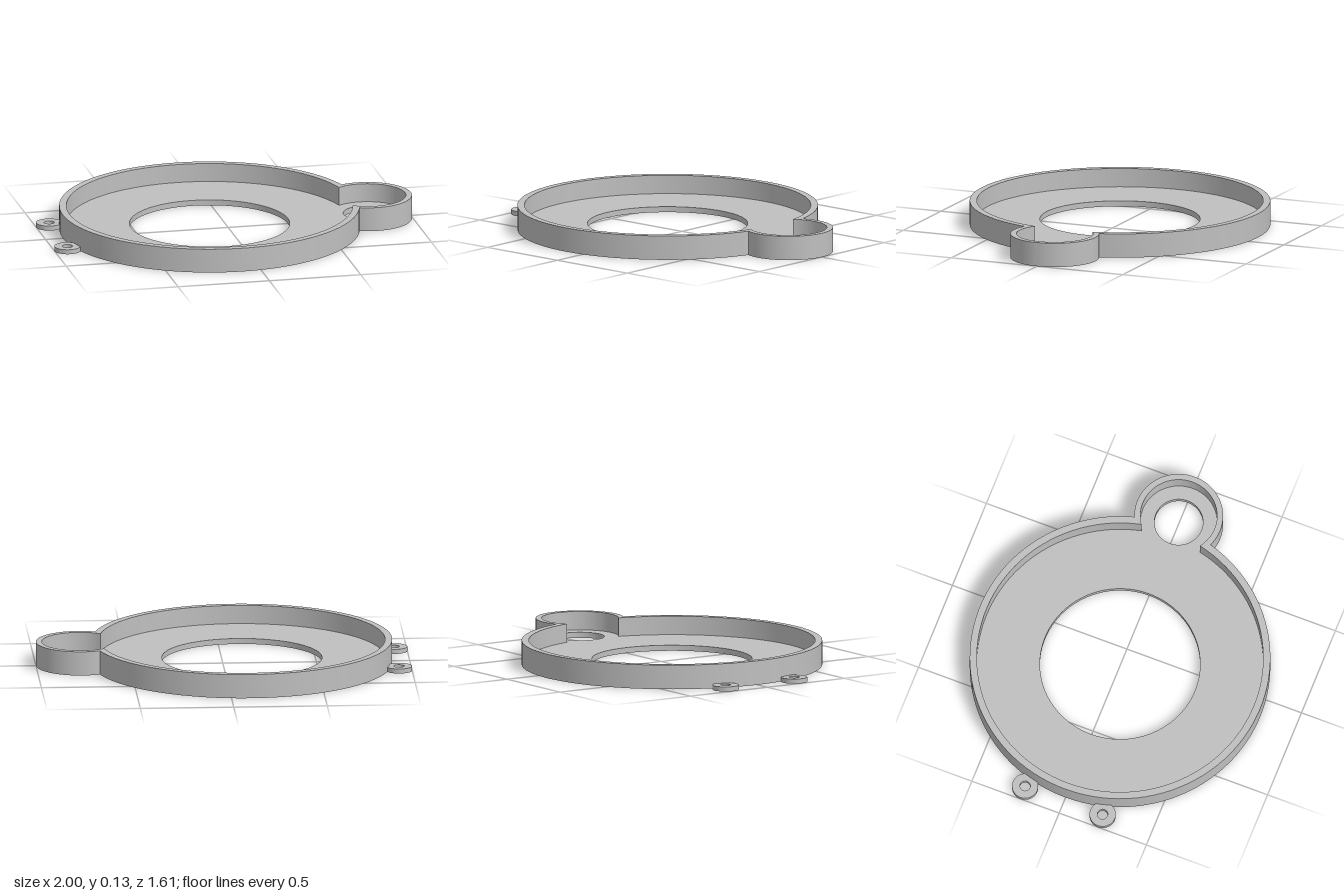
import * as THREE from 'three';
import { toCreasedNormals } from 'three/addons/utils/BufferGeometryUtils.js';

const HEIGHT = 0.13, FLOOR = 0.03, TAB_HEIGHT = 0.025;
const MAIN_X = -0.102, SIDE_X = 0.763;

// Outline of a large disc merged with a smaller one beside it
function mergedOutline(PathType, R, r) {
  const d = SIDE_X - MAIN_X;
  const a = (d * d + R * R - r * r) / (2 * d);
  const h = Math.sqrt(R * R - a * a);
  const mainAngle = Math.atan2(h, a);
  const sideAngle = Math.atan2(h, a - d);
  const path = new PathType();
  path.absarc(MAIN_X, 0, R, mainAngle, 2 * Math.PI - mainAngle, false);
  path.absarc(SIDE_X, 0, r, -sideAngle, sideAngle, false);
  path.closePath();
  return path;
}

function circle(PathType, x, y, r) {
  return new PathType().absarc(x, y, r, 0, Math.PI * 2, false);
}

// Extrude a plan shape upward from the ground
function plate(name, shape, holes, depth, material, curveSegments = 48) {
  shape.holes.push(...holes);
  const geometry = new THREE.ExtrudeGeometry(shape, { depth, bevelEnabled: false, curveSegments });
  geometry.rotateX(-Math.PI / 2);
  const mesh = new THREE.Mesh(toCreasedNormals(geometry, 0.5), material);
  mesh.name = name;
  return mesh;
}

export function createModel() {
  const group = new THREE.Group();
  group.name = 'ringTray';
  const grey = new THREE.MeshStandardMaterial({ color: 0xbfbfbf });
  grey.name = 'grey';

  // Thin wall following the merged outline
  group.add(plate('rimWall', mergedOutline(THREE.Shape, 0.803, 0.237),
    [mergedOutline(THREE.Path, 0.765, 0.205)], HEIGHT, grey));

  // Floor with the large opening and the small side opening
  group.add(plate('floor', mergedOutline(THREE.Shape, 0.765, 0.205), [
    circle(THREE.Path, MAIN_X, 0, 0.428),
    circle(THREE.Path, SIDE_X, 0, 0.13),
  ], FLOOR, grey));

  // Two mounting tabs with screw holes
  for (const side of [-1, 1]) {
    group.add(plate(side > 0 ? 'backTab' : 'frontTab',
      circle(THREE.Shape, -0.93, side * 0.222, 0.07),
      [circle(THREE.Path, -0.93, side * 0.222, 0.028)], TAB_HEIGHT, grey, 20));
  }
  return group;
}
